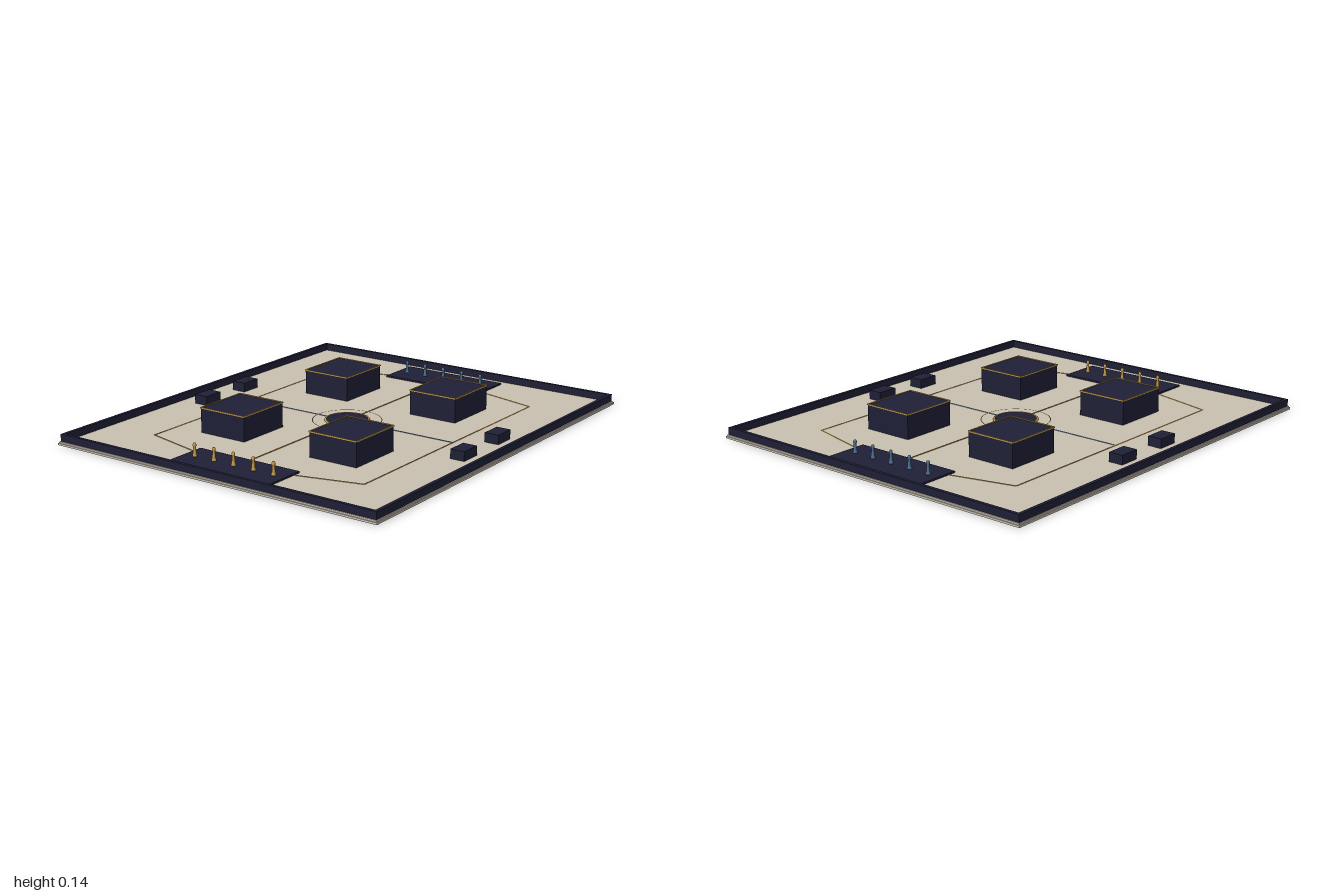
import * as THREE from 'three';

const mat = (name, color) => {
  const m = new THREE.MeshStandardMaterial({ color });
  m.name = name;
  return m;
};

export function createModel() {
  const root = new THREE.Group();
  const navy = mat('navy', 0x1f1f36);
  const stone = mat('stone', 0xc8c0b0);
  const gold = mat('gold', 0xc49a48);
  const slate = mat('slateBlue', 0x4f6f8f);
  const FLOOR = 0.016;

  const add = (name, geo, material, x = 0, y = 0, z = 0, parent = root) => {
    const m = new THREE.Mesh(geo, material);
    m.name = name;
    m.position.set(x, y, z);
    parent.add(m);
    return m;
  };
  // Box given by its base height
  const box = (name, material, w, h, d, x, y, z, parent) =>
    add(name, new THREE.BoxGeometry(w, h, d), material, x, y + h / 2, z, parent);

  // Stepped board
  box('boardBase', stone, 1.71, 0.009, 2, 0, 0, 0);
  box('boardTop', stone, 1.70, FLOOR - 0.009, 1.99, 0, 0.009, 0);

  // Rim walls
  for (const s of [-1, 1]) {
    box('sideWall', navy, 0.016, 0.034, 1.98, s * 0.838, FLOOR, 0);
    box('endWall', navy, 1.66, 0.034, 0.016, 0, FLOOR, s * 0.982);
  }

  // Four large blocks with gold trim along the top edges
  for (const sx of [-1, 1]) for (const sz of [-1, 1]) {
    const block = new THREE.Group();
    block.name = 'cornerBlock';
    block.position.set(sx * 0.303, 0, sz * 0.39);
    root.add(block);
    box('blockBody', navy, 0.246, 0.116, 0.278, 0, FLOOR, 0, block);
    for (const s of [-1, 1]) {
      box('blockTrim', gold, 0.005, 0.006, 0.283, s * 0.123, 0.129, 0, block);
      box('blockTrim', gold, 0.251, 0.006, 0.005, 0, 0.129, s * 0.139, block);
    }
    // Small side boxes
    box('sideBox', navy, 0.07, 0.044, 0.104, sx * 0.715, FLOOR, sz * 0.142);
  }

  // Game piece: tapered body and round head on a foot
  const pieceProfile = [[0, 0], [0.011, 0], [0.011, 0.006], [0.008, 0.012], [0.006, 0.042],
    [0.008, 0.047], [0.008, 0.054], [0.005, 0.06], [0, 0.061]].map(p => new THREE.Vector2(...p));
  const pieceGeo = new THREE.LatheGeometry(pieceProfile, 10);

  // End platforms, each with a row of pieces
  for (const s of [-1, 1]) {
    box('endPlatform', navy, 0.54, 0.008, 0.212, 0, FLOOR, s * 0.825);
    for (let i = -2; i <= 2; i++)
      add(s > 0 ? 'frontPiece' : 'backPiece', pieceGeo, s > 0 ? gold : slate, i * 0.107, FLOOR + 0.008, s * 0.822);
  }

  // Thin inlaid path between two floor points
  const path = (name, material, x1, z1, x2, z2, h = 0.002) => {
    const length = Math.hypot(x2 - x1, z2 - z1);
    const m = box(name, material, length, h, 0.005, (x1 + x2) / 2, FLOOR, (z1 + z2) / 2);
    m.rotation.y = -Math.atan2(z2 - z1, x2 - x1);
  };
  path('centrePath', gold, 0, -0.72, 0, 0.72, 0.003);
  path('crossPath', slate, -0.572, 0, 0.572, 0);
  for (const sx of [-1, 1]) {
    path('sidePath', gold, sx * 0.572, -0.68, sx * 0.572, 0.68);
    for (const sz of [-1, 1])
      path('slantPath', gold, sx * 0.572, sz * 0.68, sx * 0.27, sz * 0.756);
  }

  // Centre disc with its rim and outer circle
  add('centreDisc', new THREE.CylinderGeometry(0.097, 0.097, 0.008, 48), navy, 0, FLOOR + 0.004, 0);
  const rim = add('discRim', new THREE.TorusGeometry(0.1, 0.005, 8, 64), gold, 0, FLOOR + 0.005, 0);
  rim.rotation.x = Math.PI / 2;
  const circle = add('outerCircle', new THREE.RingGeometry(0.158, 0.162, 64), gold, 0, FLOOR + 0.0035, 0);
  circle.rotation.x = -Math.PI / 2;

  return root;
}
